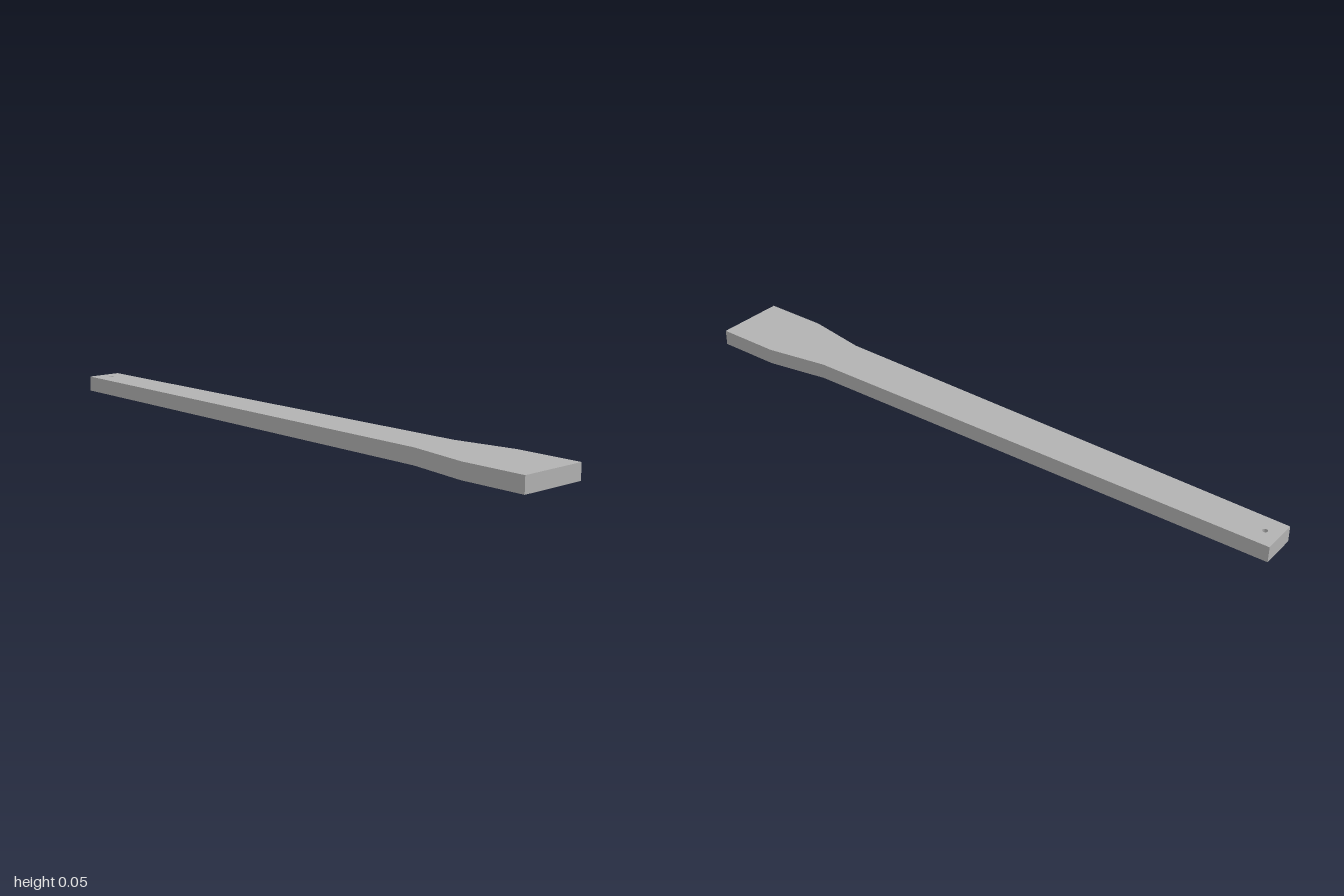
import * as THREE from 'three';

export function createModel() {
  const group = new THREE.Group();
  group.name = 'paddle';
  const grey = new THREE.MeshStandardMaterial({ color: 0xb2b2b2 });
  grey.name = 'plain grey';

  // Half outline as [half width, z], from the narrow back end to the wide front
  const half = [[0.058, -1], [0.078, 0.59], [0.113, 0.79], [0.113, 1]];
  const right = half.map(([x, z]) => new THREE.Vector2(-x, -z));
  const left = half.map(([x, z]) => new THREE.Vector2(x, -z)).reverse();
  const outline = new THREE.Shape([...right, ...left]);

  // Small hanging hole through the narrow end
  const hole = new THREE.Path();
  hole.absarc(0, 0.955, 0.008, 0, Math.PI * 2, true);
  outline.holes.push(hole);

  // Flat board, laid down so its thickness runs up y
  const geometry = new THREE.ExtrudeGeometry(outline, {
    depth: 0.05, bevelEnabled: false, curveSegments: 24,
  });
  geometry.rotateX(-Math.PI / 2);

  const board = new THREE.Mesh(geometry, grey);
  board.name = 'board';
  group.add(board);
  return group;
}
